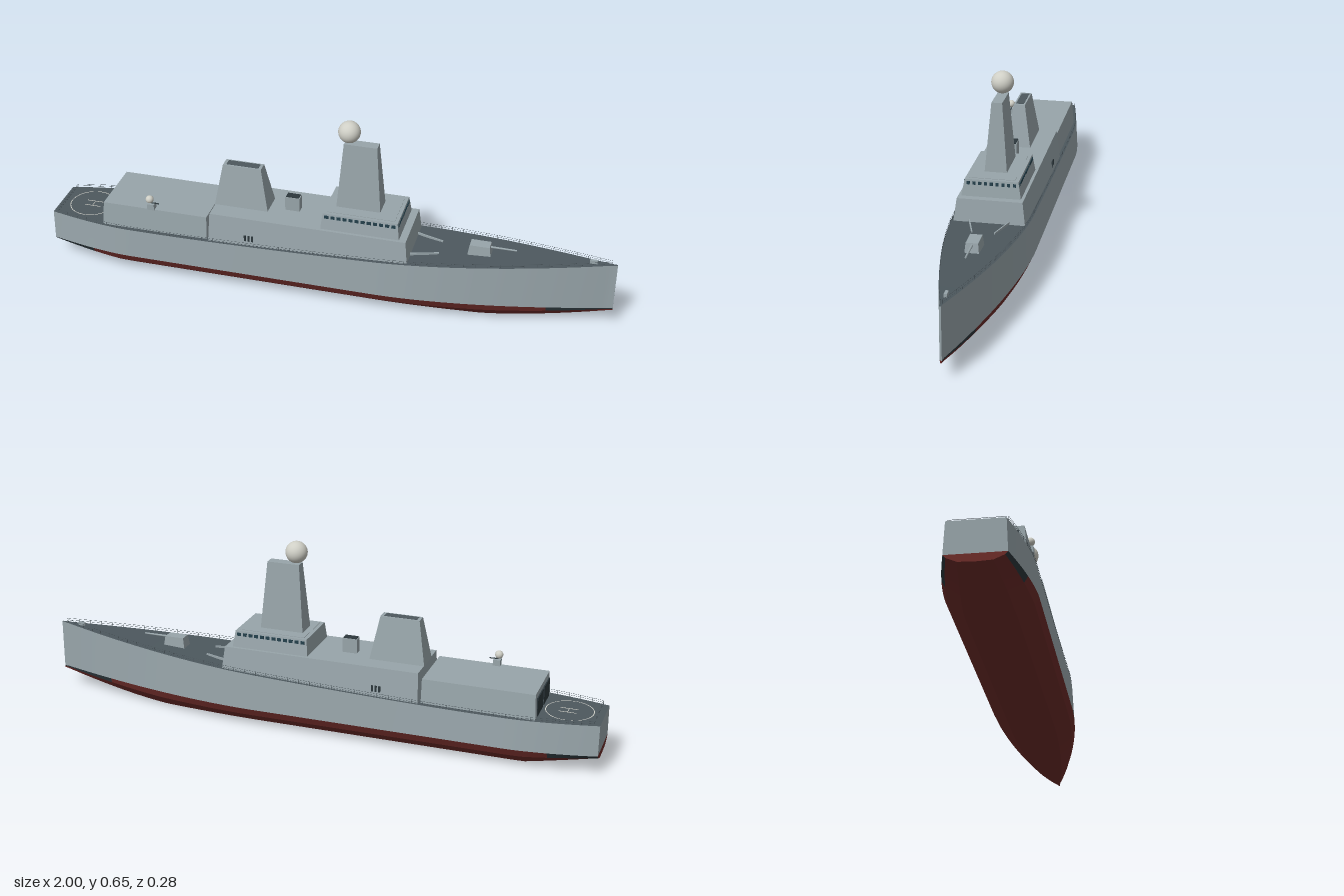
import * as THREE from 'three';
import { mergeGeometries } from 'three/addons/utils/BufferGeometryUtils.js';

const paint = (color, extra = {}) => new THREE.MeshStandardMaterial({ color, ...extra });
const { lerp } = THREE.MathUtils;

// Hull lines: half beam at the deck, deck sheer and keel rise along x
function halfBeam(x) {
  if (x > 0.2) return Math.max(0.003, 0.132 * (1 - Math.pow((x - 0.2) / 0.8, 1.7)));
  if (x < -0.7) return 0.132 - 0.045 * Math.pow((-0.7 - x) / 0.3, 1.6);
  return 0.132;
}
const deckY = (x) => 0.18 + 0.068 * Math.pow(Math.max(0, (x + 0.6) / 1.6), 1.6);
function keelY(x) {
  if (x > 0.55) return 0.003 + 0.062 * Math.pow((x - 0.55) / 0.45, 1.4);
  if (x < -0.76) return 0.003 + 0.045 * (-0.76 - x) / 0.24;
  return 0.003;
}

// Cross-section from the +z deck edge, round the keel, to the -z deck edge
function section(x) {
  const w = halfBeam(x), wl = w * 1.055, k = keelY(x);
  const at = (t) => lerp(k, 0.074, t);
  const half = [[deckY(x), w], [0.074, wl], [at(0.63), wl * 0.91], [at(0.08), wl * 0.55]];
  const port = half.map(([y, z]) => new THREE.Vector3(x, y, z));
  const starboard = half.map(([y, z]) => new THREE.Vector3(x, y, -z)).reverse();
  return [...port, new THREE.Vector3(x, k, 0), ...starboard];
}

// Surface through rows of points
function loft(rows) {
  const n = rows[0].length, index = [];
  for (let i = 0; i < rows.length - 1; i++) {
    for (let j = 0; j < n - 1; j++) {
      const a = i * n + j, b = a + 1, c = a + n, d = c + 1;
      index.push(a, b, c, b, d, c);
    }
  }
  const geo = new THREE.BufferGeometry().setFromPoints(rows.flat());
  geo.setIndex(index);
  geo.computeVertexNormals();
  return geo;
}

// Box tapering from one x range and half width at the base to another at the top
function taperedBlock([x0, x1, w], [tx0, tx1, tw], y0, y1) {
  const geo = new THREE.BoxGeometry(1, 1, 1), p = geo.attributes.position;
  for (let i = 0; i < p.count; i++) {
    const top = p.getY(i) > 0, fore = p.getX(i) > 0;
    p.setXYZ(i, top ? (fore ? tx1 : tx0) : (fore ? x1 : x0), top ? y1 : y0,
      Math.sign(p.getZ(i)) * (top ? tw : w));
  }
  geo.computeVertexNormals();
  return geo;
}

const box = (sx, sy, sz, x, y, z) => new THREE.BoxGeometry(sx, sy, sz).translate(x, y, z);

export function createModel() {
  const ship = new THREE.Group();
  ship.name = 'ship';
  const grey = paint(0x98a5aa), red = paint(0x6e2c29), dark = paint(0x2c373c);
  const deckMat = paint(0x4d585e), white = paint(0xcfcfc6), glass = paint(0x24404c);
  const double = { side: THREE.DoubleSide };
  const add = (name, geo, mat) => {
    const mesh = new THREE.Mesh(geo, mat);
    mesh.name = name;
    ship.add(mesh);
    return mesh;
  };

  // Hull skin, band by band so the chines stay sharp
  const stations = [];
  for (let i = 0; i <= 100; i++) stations.push(-1 + i * 0.02);
  const rings = stations.map(section);
  const band = (j, from = -1, to = 1) => loft(rings
    .filter((r) => r[0].x > from - 0.001 && r[0].x < to + 0.001)
    .map((r) => [r[j], r[(j + 1) % 9]]));
  const bands = (list, ...range) => mergeGeometries(list.map((j) => band(j, ...range)));
  add('topsides', bands([0, 7]), grey);
  add('deck', band(8), deckMat);
  add('bottom', bands([2, 3, 4, 5]), red);
  add('bilges', bands([1, 6], -0.84, 0.78), red);
  add('sternBootStripe', bands([1, 6], -1, -0.84), dark);
  add('bowBootStripe', bands([1, 6], 0.78, 1), dark);

  // Transom and stem close the two ends
  [['transom', rings[0]], ['stem', rings[100]]].forEach(([name, r]) => {
    const pairs = [0, 1, 2, 3, 4].map((j) => [r[j], r[8 - j]]);
    add(name, loft(pairs.slice(0, 2)), paint(0x98a5aa, double));
    add(name + 'Bottom', loft(pairs.slice(1)), paint(0x6e2c29, double));
  });

  // Superstructure
  add('mainDeckhouse', taperedBlock([-0.4, 0.312, 0.124], [-0.395, 0.3, 0.11], 0.175, 0.285), grey);
  add('hangar', taperedBlock([-0.795, -0.408, 0.117], [-0.79, -0.408, 0.108], 0.17, 0.266), grey);
  add('bridge', taperedBlock([0, 0.275, 0.1], [0.006, 0.267, 0.09], 0.284, 0.342), grey);
  add('bridgeRoof', box(0.235, 0.003, 0.155, 0.137, 0.342, 0), grey);
  add('mast', taperedBlock([0.04, 0.195, 0.038], [0.06, 0.175, 0.018], 0.34, 0.58), grey);
  add('funnel', taperedBlock([-0.397, -0.204, 0.045], [-0.37, -0.233, 0.02], 0.284, 0.435), grey);
  add('funnelCap', box(0.115, 0.002, 0.028, -0.3015, 0.435, 0), deckMat);
  add('vent', box(0.052, 0.052, 0.03, -0.123, 0.31, 0), grey);
  add('ventCap', box(0.046, 0.003, 0.025, -0.123, 0.337, 0), dark);
  add('radome', new THREE.SphereGeometry(0.038, 32, 24).translate(0.075, 0.62, 0), white);

  // Bridge windows across the front, back and both sides
  const panes = [];
  for (let i = -4; i <= 4; i++) panes.push(box(0.004, 0.011, 0.01, 0.2685, 0.33, i * 0.0193));
  for (let i = 0; i < 12; i++) {
    for (const s of [1, -1]) panes.push(box(0.014, 0.011, 0.004, 0.02 + i * 0.0212, 0.33, s * 0.0915));
  }
  add('bridgeWindows', mergeGeometries(panes), glass);

  // Hangar doors and side louvres
  add('hangarDoors', mergeGeometries([1, -1].map((s) => box(0.004, 0.066, 0.085, -0.794, 0.216, s * 0.05))), dark);
  const slits = [];
  for (const s of [1, -1]) {
    for (let i = 0; i < 3; i++) slits.push(box(0.007, 0.022, 0.004, -0.265 + i * 0.013, 0.212, s * 0.1192));
  }
  add('louvres', mergeGeometries(slits), dark);

  // Fore deck gun
  add('gunMount', taperedBlock([0.497, 0.578, 0.024], [0.503, 0.572, 0.02], 0.215, 0.254), grey);
  add('gunBarrel', new THREE.CylinderGeometry(0.003, 0.004, 0.1, 10).rotateZ(-Math.PI / 2)
    .translate(0.612, 0.246, 0), grey);

  // Breakwater on the fore deck and windlass at the bow
  for (const s of [1, -1]) {
    const wall = add('breakwater', new THREE.BoxGeometry(0.1, 0.008, 0.004), grey);
    wall.position.set(0.355, deckY(0.355) + 0.004, s * 0.052);
    wall.rotation.y = s * 0.3;
  }
  add('windlass', box(0.025, 0.012, 0.01, 0.92, deckY(0.92) + 0.006, 0), grey);

  // Small defence mount on the hangar roof
  add('defenceMountBase', box(0.025, 0.022, 0.024, -0.612, 0.276, 0.1), grey);
  add('defenceMountBarrel', new THREE.CylinderGeometry(0.002, 0.002, 0.03, 8).rotateZ(Math.PI / 2)
    .translate(-0.6, 0.288, 0.1), dark);
  add('defenceMountDome', new THREE.SphereGeometry(0.014, 20, 14).translate(-0.617, 0.303, 0.102), white);

  // Landing pad markings
  const padY = deckY(-0.88) + 0.001;
  add('padRing', new THREE.RingGeometry(0.078, 0.081, 48).rotateX(-Math.PI / 2)
    .translate(-0.885, padY, 0), white);
  add('padMarks', mergeGeometries([
    box(0.002, 0.001, 0.03, -0.88, padY, 0),
    ...[1, -1].map((s) => box(0.06, 0.001, 0.002, -0.88, padY, s * 0.015)),
  ]), white);

  // Guard rails along the deck edges and across the stern
  const rails = [];
  const edge = (x, s, h) => new THREE.Vector3(x, deckY(x) + h, s * Math.max(0.001, halfBeam(x) - 0.002));
  for (const s of [1, -1]) {
    for (const h of [0.007, 0.014]) {
      const path = new THREE.CatmullRomCurve3(stations.filter((x) => x > -0.995 && x < 0.995)
        .map((x) => edge(x, s, h)));
      rails.push(new THREE.TubeGeometry(path, 120, 0.0005, 4));
    }
    for (let x = -0.98; x < 0.99; x += 0.04) {
      const p = edge(x, s, 0.007);
      rails.push(box(0.001, 0.014, 0.001, p.x, p.y, p.z));
    }
  }
  for (const h of [0.007, 0.014]) rails.push(box(0.001, 0.001, 0.17, -0.98, deckY(-1) + h, 0));
  add('guardRails', mergeGeometries(rails), deckMat);

  return ship;
}
